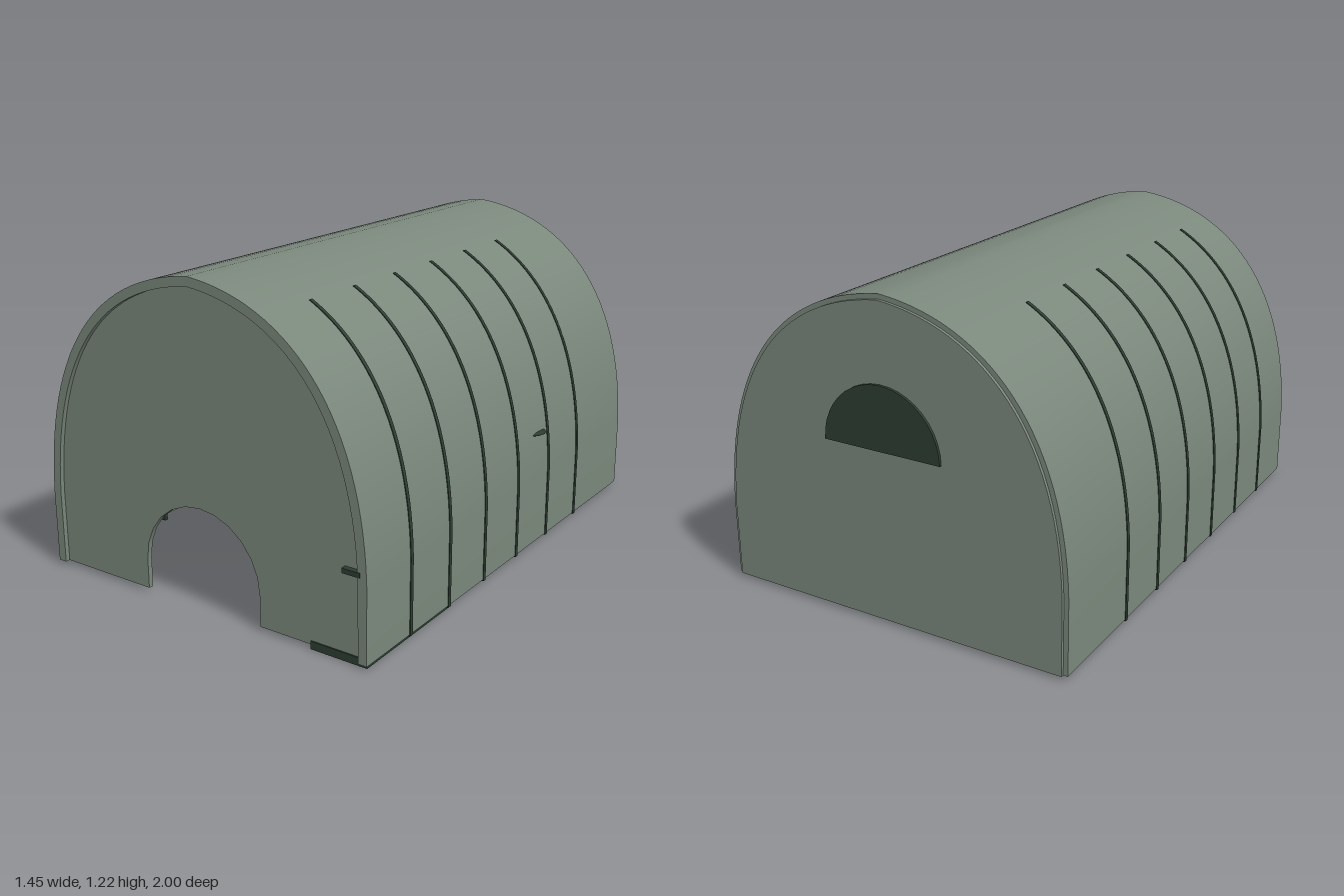
import * as THREE from 'three';
import { toCreasedNormals } from 'three/addons/utils/BufferGeometryUtils.js';

const BASE = 0.015;
const arch = new THREE.CubicBezierCurve(
  new THREE.Vector2(0.717, 0.3), new THREE.Vector2(0.7, 0.88),
  new THREE.Vector2(0.42, 1.18), new THREE.Vector2(0, 1.22));

// Right half of the hut profile, from the foot upward, moved inward by inset
function halfProfile(inset, tMax = 1, foot = BASE, steps = 28) {
  const pts = [new THREE.Vector2(0.717 - inset, foot)];
  for (let i = 0; i <= steps; i++) {
    const t = tMax * i / steps;
    const p = arch.getPoint(t), d = arch.getTangent(t);
    pts.push(new THREE.Vector2(Math.max(0, p.x - d.y * inset), p.y + d.x * inset));
  }
  if (tMax === 1) pts[pts.length - 1].set(0, 1.22 - inset * 1.02);
  return pts;
}

function fullProfile(inset) {
  const half = halfProfile(inset);
  const mirrored = half.slice(0, -1).reverse().map(p => new THREE.Vector2(-p.x, p.y));
  return half.concat(mirrored);
}

// Extrude a shape along z from z0 to z1
function slice(shape, z0, z1) {
  const g = new THREE.ExtrudeGeometry(shape, { depth: z1 - z0, bevelEnabled: false, curveSegments: 10 });
  g.translate(0, 0, z0);
  return toCreasedNormals(g, 0.4);
}

export function createModel() {
  const group = new THREE.Group();
  const canvas = new THREE.MeshStandardMaterial({ color: 0x7a877b });
  const dark = new THREE.MeshStandardMaterial({ color: 0x2c3c31 });

  function add(name, geo, mat) {
    const m = new THREE.Mesh(geo, mat);
    m.name = name;
    group.add(m);
    return m;
  }
  function box(name, x0, x1, y0, y1, z0, z1) {
    const m = add(name, new THREE.BoxGeometry(x1 - x0, y1 - y0, z1 - z0), dark);
    m.position.set((x0 + x1) / 2, (y0 + y1) / 2, (z0 + z1) / 2);
    return m;
  }

  // Arched shell, open at the bottom
  add('shell', slice(new THREE.Shape(fullProfile(0).concat(fullProfile(0.035).reverse())), -0.978, 0.998), canvas);

  // Front wall with an arched doorway
  const front = [new THREE.Vector2(0.262, BASE)];
  for (let i = 0; i <= 12; i++) {
    const a = Math.PI * i / 12;
    front.push(new THREE.Vector2(0.262 * Math.cos(a), 0.13 + 0.262 * Math.sin(a)));
  }
  front.push(new THREE.Vector2(-0.262, BASE));
  add('frontWall', slice(new THREE.Shape(fullProfile(0.033).concat(front.reverse())), 0.96, 0.98), canvas);

  // Back wall and its half-round window
  add('backWall', slice(new THREE.Shape(fullProfile(0.018)), -0.99, -0.965), canvas);
  const pane = new THREE.Shape();
  pane.absarc(0, 0.67, 0.24, 0, Math.PI, false);
  add('window', slice(pane, -1, -0.955), dark);

  // Curved ribs on both sides, just showing through the shell
  const ribZ = [0.73, 0.475, 0.22, -0.035, -0.29, -0.55];
  const ribShape = side => new THREE.Shape(
    halfProfile(-0.003, 0.73, 0.01).concat(halfProfile(0.07, 0.73, 0.01).reverse())
      .map(p => new THREE.Vector2(p.x * side, p.y)));
  for (const side of [1, -1]) {
    for (const z of ribZ) add('rib', slice(ribShape(side), z - 0.008, z + 0.008), dark);
  }

  // Braces between the ribs of the right wall: rib bay, height, outer x
  for (const [bay, y, x] of [[0, 0.92, 0.51], [1, 0.73, 0.62], [1, 0.1, 0.7],
    [2, 0.38, 0.7], [2, 0.92, 0.51]]) {
    box('brace', -x, -x + 0.07, y - 0.01, y + 0.01, ribZ[bay + 1], ribZ[bay]);
  }
  box('wallPanel', -0.69, -0.66, 0.03, 0.3, ribZ[1], ribZ[0]);

  // Low bench with end boards by the door
  box('benchBase', 0.48, 0.71, 0, 0.03, 0.465, 0.985);
  for (const z of [0.465, 0.94]) box('benchEnd', 0.5, 0.68, 0.03, 0.12, z, z + 0.02);

  // Small wall shelf and lamp on the left wall
  box('shelf', 0.62, 0.69, 0.325, 0.343, 0.73, 1);
  const lamp = add('lamp', new THREE.SphereGeometry(0.06, 16, 8), dark);
  lamp.scale.set(1, 0.12, 1);
  lamp.position.set(0.67, 0.465, -0.215);

  return group;
}
